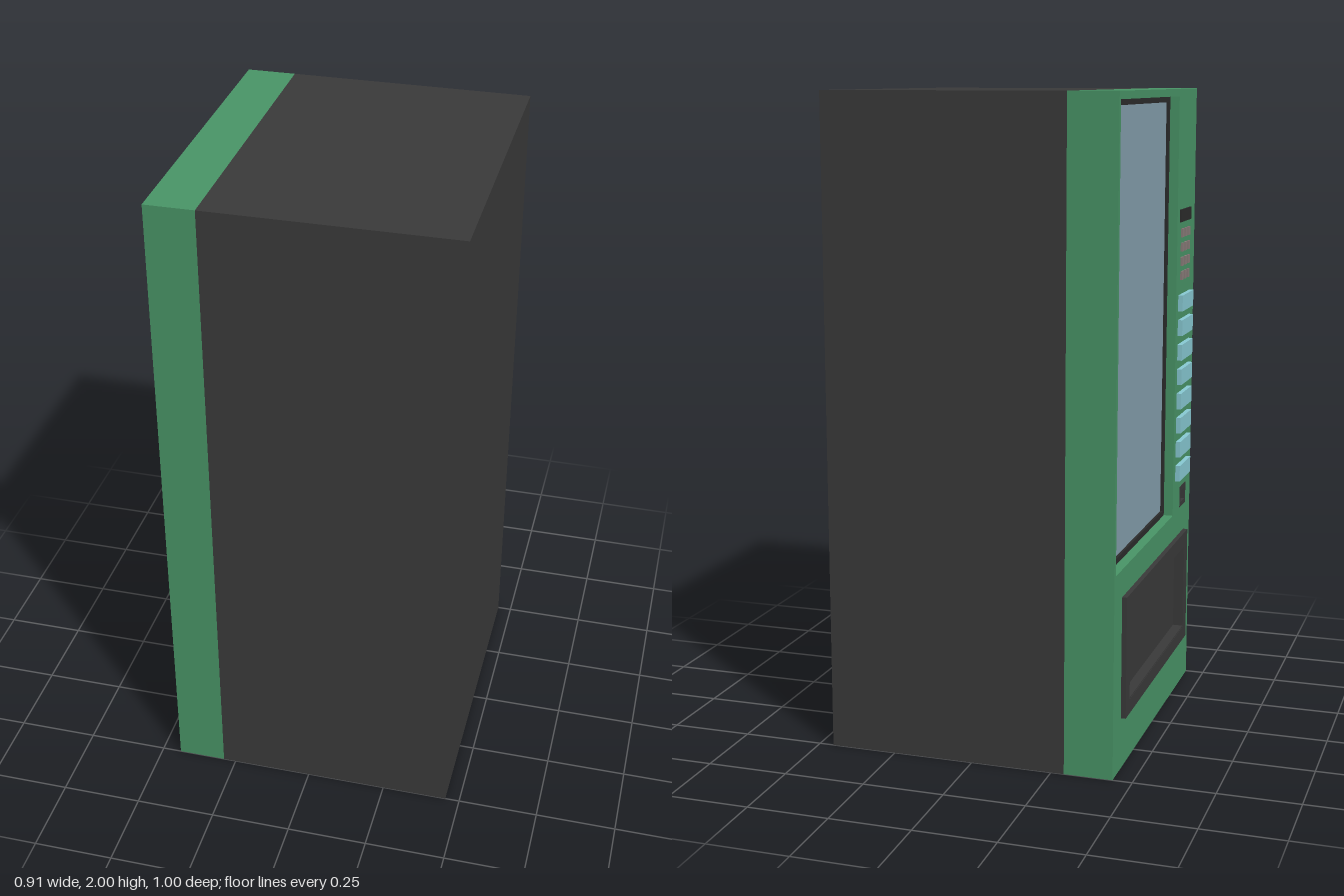
import * as THREE from 'three';

const mat = (color) => new THREE.MeshStandardMaterial({ color });
const green = mat(0x4a9768), dark = mat(0x3b3b3b), black = mat(0x2c2c2c);
const glassBlue = mat(0x86a0ae), cyan = mat(0x8accd6), keyGrey = mat(0x8c7f7c);

// Rectangle given as [x0, y0, x1, y1]
function trace(path, [x0, y0, x1, y1]) {
  return path.moveTo(x0, y0).lineTo(x1, y0).lineTo(x1, y1).lineTo(x0, y1).closePath();
}

// Solid block on a rectangle between two depths
function block(name, [x0, y0, x1, y1], z0, z1, material) {
  const mesh = new THREE.Mesh(new THREE.BoxGeometry(x1 - x0, y1 - y0, z1 - z0), material);
  mesh.position.set((x0 + x1) / 2, (y0 + y1) / 2, (z0 + z1) / 2);
  mesh.name = name;
  return mesh;
}

// Plate with rectangular openings between two depths
function plate(name, outer, holes, z0, z1, material) {
  const shape = trace(new THREE.Shape(), outer);
  holes.forEach((h) => shape.holes.push(trace(new THREE.Path(), h)));
  const geo = new THREE.ExtrudeGeometry(shape, { depth: z1 - z0, bevelEnabled: false });
  const mesh = new THREE.Mesh(geo, material);
  mesh.position.z = z0;
  mesh.name = name;
  return mesh;
}

const inset = ([x0, y0, x1, y1], d) => [x0 + d, y0 + d, x1 - d, y1 - d];

export function createModel() {
  // Built facing local +z, then turned so the door faces -x
  const machine = new THREE.Group();
  machine.name = 'vendingMachine';
  const face = 0.44;
  const windowHole = [-0.485, 0.62, 0.247, 1.977];
  const hatch = [-0.41, 0.16, 0.41, 0.535];
  const hatchHole = inset(hatch, 0.045);
  const slot = [0.345, 0.625, 0.43, 0.695];
  const slotHole = inset(slot, 0.015);

  // Cabinet and door
  machine.add(block('cabinet', [-0.5, 0, 0.5, 2], -0.455, 0.29, dark));
  machine.add(plate('door', [-0.5, 0, 0.5, 2], [windowHole, hatchHole, slot], 0.29, face, green));

  // Display window
  machine.add(plate('windowSeal', windowHole, [inset(windowHole, 0.018)], 0.39, 0.41, black));
  machine.add(block('windowGlass', inset(windowHole, 0.01), 0.385, 0.402, glassBlue));

  // Delivery hatch
  machine.add(plate('hatchFrame', hatch, [hatchHole], face, 0.455, dark));
  machine.add(plate('hatchLiner', hatchHole, [inset(hatchHole, 0.004)], 0.41, 0.454, dark));
  machine.add(block('hatchFlap', hatchHole, 0.4, 0.422, dark));

  // Coin return
  machine.add(plate('coinReturnFrame', slot, [slotHole], 0.4, face + 0.001, dark));
  machine.add(block('coinReturnBack', slot, 0.39, 0.41, black));

  // Selection buttons
  for (let i = 0; i < 8; i++) {
    const y = 0.73 + i * 0.0805;
    machine.add(block('selectionButton', [0.275, y, 0.435, y + 0.052], face, 0.455, cyan));
  }

  // Readout and keypad
  machine.add(block('readout', [0.28, 1.58, 0.43, 1.62], face, 0.445, black));
  for (let row = 0; row < 4; row++) {
    for (let col = 0; col < 3; col++) {
      const x = 0.298 + col * 0.044, y = 1.392 + row * 0.046;
      machine.add(block('key', [x, y, x + 0.026, y + 0.028], face, 0.446, keyGrey));
    }
  }

  machine.rotation.y = -Math.PI / 2;
  const model = new THREE.Group();
  model.add(machine);
  return model;
}
